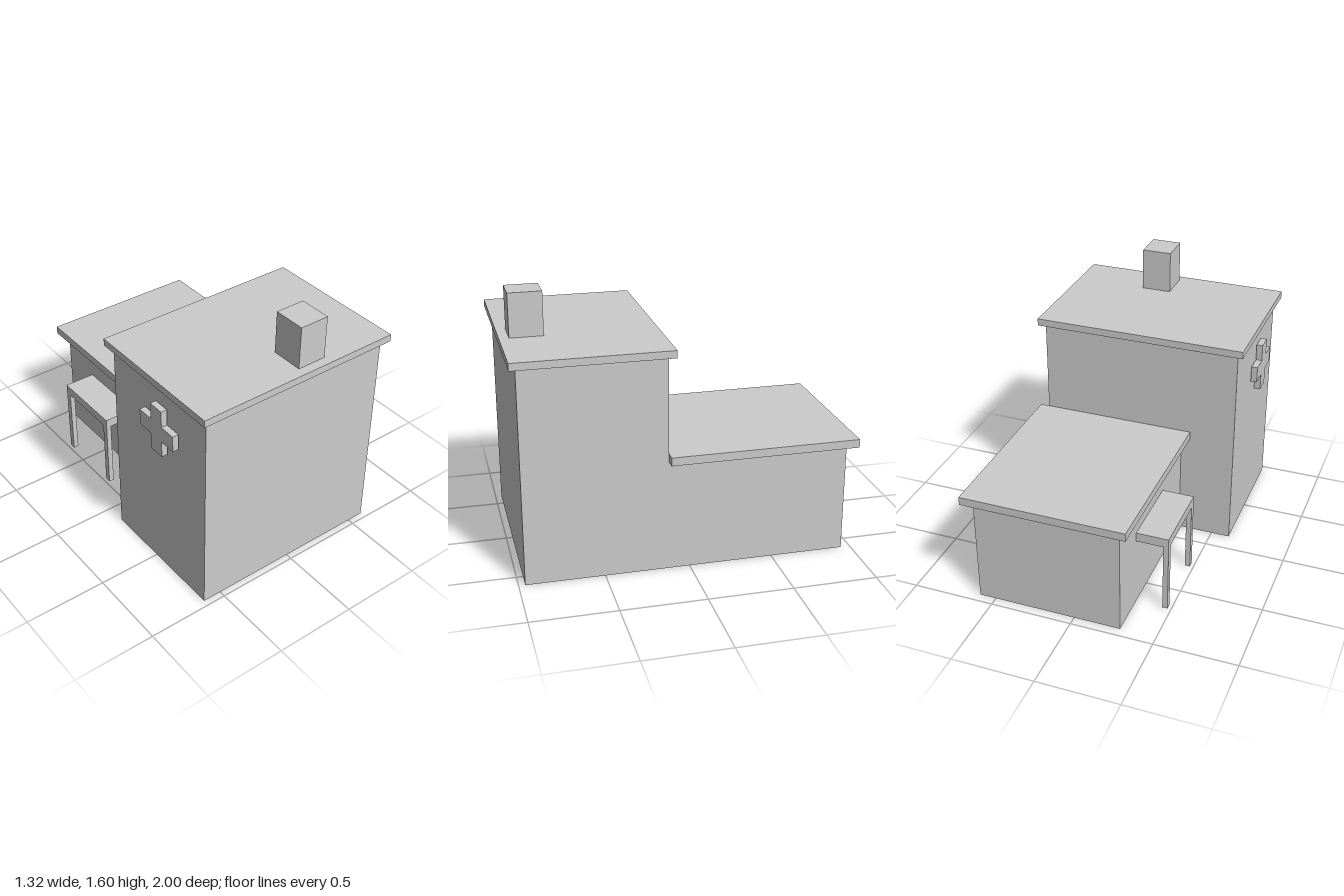
import * as THREE from 'three';

const material = new THREE.MeshStandardMaterial({ color: 0xcccccc, flatShading: true });

// Box given by its extents along each axis
function box(name, [x0, x1], [y0, y1], [z0, z1]) {
  const mesh = new THREE.Mesh(new THREE.BoxGeometry(x1 - x0, y1 - y0, z1 - z0), material);
  mesh.position.set((x0 + x1) / 2, (y0 + y1) / 2, (z0 + z1) / 2);
  mesh.name = name;
  return mesh;
}

// Plus-shaped wall sign, facing -x
function wallCross() {
  const a = 0.152, b = 0.05, depth = 0.038;
  const outline = [
    [b, a], [-b, a], [-b, b], [-a, b], [-a, -b], [-b, -b],
    [-b, -a], [b, -a], [b, -b], [a, -b], [a, b], [b, b],
  ].map(([x, y]) => new THREE.Vector2(x, y));
  const geometry = new THREE.ExtrudeGeometry(new THREE.Shape(outline), { depth, bevelEnabled: false });
  const mesh = new THREE.Mesh(geometry, material);
  mesh.rotation.y = -Math.PI / 2;
  mesh.position.set(-0.623, 1.017, 0.585);
  mesh.name = 'wallCross';
  return mesh;
}

// Small porch on the annex's outer wall
function porch() {
  const group = new THREE.Group();
  group.name = 'porch';
  group.add(box('porchRoof', [-0.478, -0.283], [0.435, 0.492], [-0.68, -0.217]));
  for (const z of [-0.68, -0.255]) {
    group.add(box('porchPost', [-0.478, -0.446], [0, 0.435], [z, z + 0.038]));
  }
  return group;
}

export function createModel() {
  const model = new THREE.Group();
  model.name = 'building';
  model.add(
    // Tall front block
    box('mainWalls', [-0.615, 0.602], [0, 1.292], [0.125, 0.962]),
    box('mainRoof', [-0.653, 0.638], [1.292, 1.336], [0.087, 1]),
    box('chimney', [0.015, 0.196], [1.336, 1.595], [0.747, 0.943]),
    // Low rear block
    box('annexWalls', [-0.283, 0.602], [0, 0.667], [-0.943, 0.125]),
    box('annexRoof', [-0.339, 0.657], [0.667, 0.717], [-1, 0.123]),
    porch(),
    wallCross(),
  );
  return model;
}
